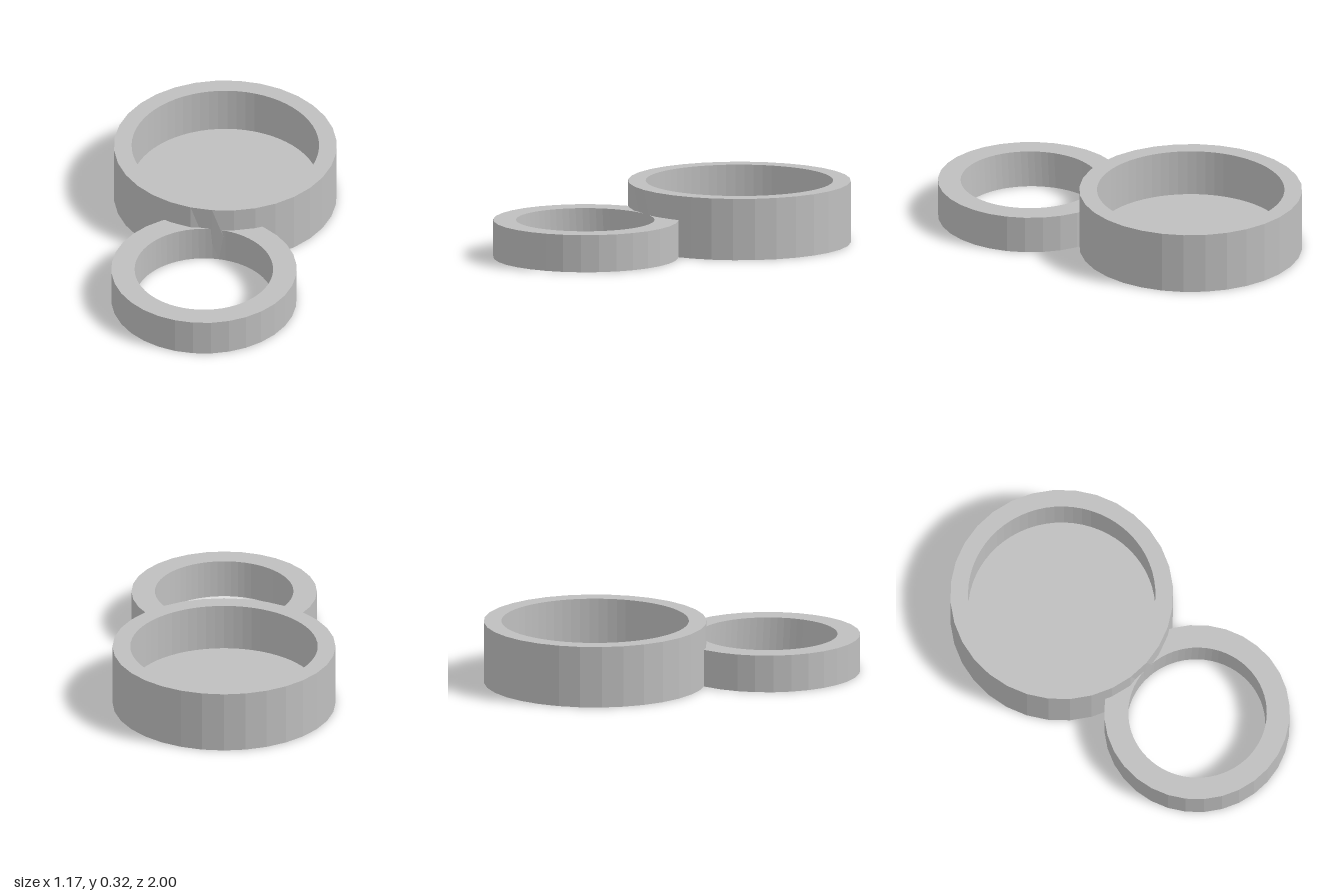
import * as THREE from 'three';

const CUP = { z: -0.417, outer: 0.583, inner: 0.49, height: 0.325, floor: 0.08 };
const RING = { z: 0.515, outer: 0.485, inner: 0.362, height: 0.197 };

// Points of a circle on the ground plane, as (x, -z) for an upright extrusion
function circle(z, r, n) {
  return Array.from({ length: n }, (_, i) => {
    const a = (i / n) * Math.PI * 2;
    return new THREE.Vector2(r * Math.cos(a), -z + r * Math.sin(a));
  });
}

function extrudeUp(outline, hole, height) {
  const shape = new THREE.Shape(outline);
  shape.holes.push(new THREE.Path(hole));
  const geo = new THREE.ExtrudeGeometry(shape, { depth: height, bevelEnabled: false });
  return geo.rotateX(-Math.PI / 2);
}

// Changes z of each vertex by a rule
function shiftZ(geo, rule) {
  const p = geo.attributes.position;
  for (let i = 0; i < p.count; i++) {
    p.setZ(i, p.getZ(i) + rule(p.getX(i), p.getY(i), p.getZ(i)));
  }
  geo.computeVertexNormals();
  return geo;
}

export function createModel() {
  const group = new THREE.Group();
  const grey = new THREE.MeshStandardMaterial({ color: 0xbfbfbf, flatShading: true });
  grey.name = 'grey';
  const add = (name, geo) => {
    const mesh = new THREE.Mesh(geo, grey);
    mesh.name = name;
    group.add(mesh);
    return mesh;
  };

  // Cup wall, trimmed slightly at the front foot where the slanted hole meets it
  const wall = extrudeUp(circle(CUP.z, CUP.outer, 32), circle(CUP.z, CUP.inner, 64), CUP.height);
  add('cupWall', shiftZ(wall, (x, y, z) => (y < 0.01 && z > 0.16 ? -0.02 : 0)));

  // Cup floor
  const floor = new THREE.CylinderGeometry(CUP.inner, CUP.inner, CUP.floor, 64);
  add('cupFloor', floor).position.set(0, CUP.floor / 2, CUP.z);

  // Ring outline: the open arc outside the cup, closed by an arc within the cup wall
  const joinR = 0.54;
  const d = RING.z - CUP.z;
  const along = (d * d + joinR * joinR - RING.outer * RING.outer) / (2 * d);
  const joinX = Math.sqrt(joinR * joinR - along * along);
  const half = Math.asin(joinX / joinR);
  const outline = [];
  for (let i = 0; i < 32; i++) {
    const a = Math.PI / 2 + (i / 32) * Math.PI * 2;
    const x = RING.outer * Math.cos(a);
    const z = RING.z - RING.outer * Math.sin(a);
    if (Math.hypot(x, z - CUP.z) > joinR) outline.push(new THREE.Vector2(x, -z));
  }
  for (let i = 0; i <= 12; i++) {
    const a = half - (i / 12) * half * 2;
    outline.push(new THREE.Vector2(joinR * Math.sin(a), -(CUP.z + joinR * Math.cos(a))));
  }

  // Ring with a slightly slanted finger hole
  const ring = extrudeUp(outline, circle(RING.z, RING.inner, 64), RING.height);
  add('fingerRing', shiftZ(ring, (x, y, z) =>
    Math.hypot(x, z - RING.z) < RING.inner + 0.003 ? (y > 0.1 ? 0.004 : -0.006) : 0));

  return group;
}
